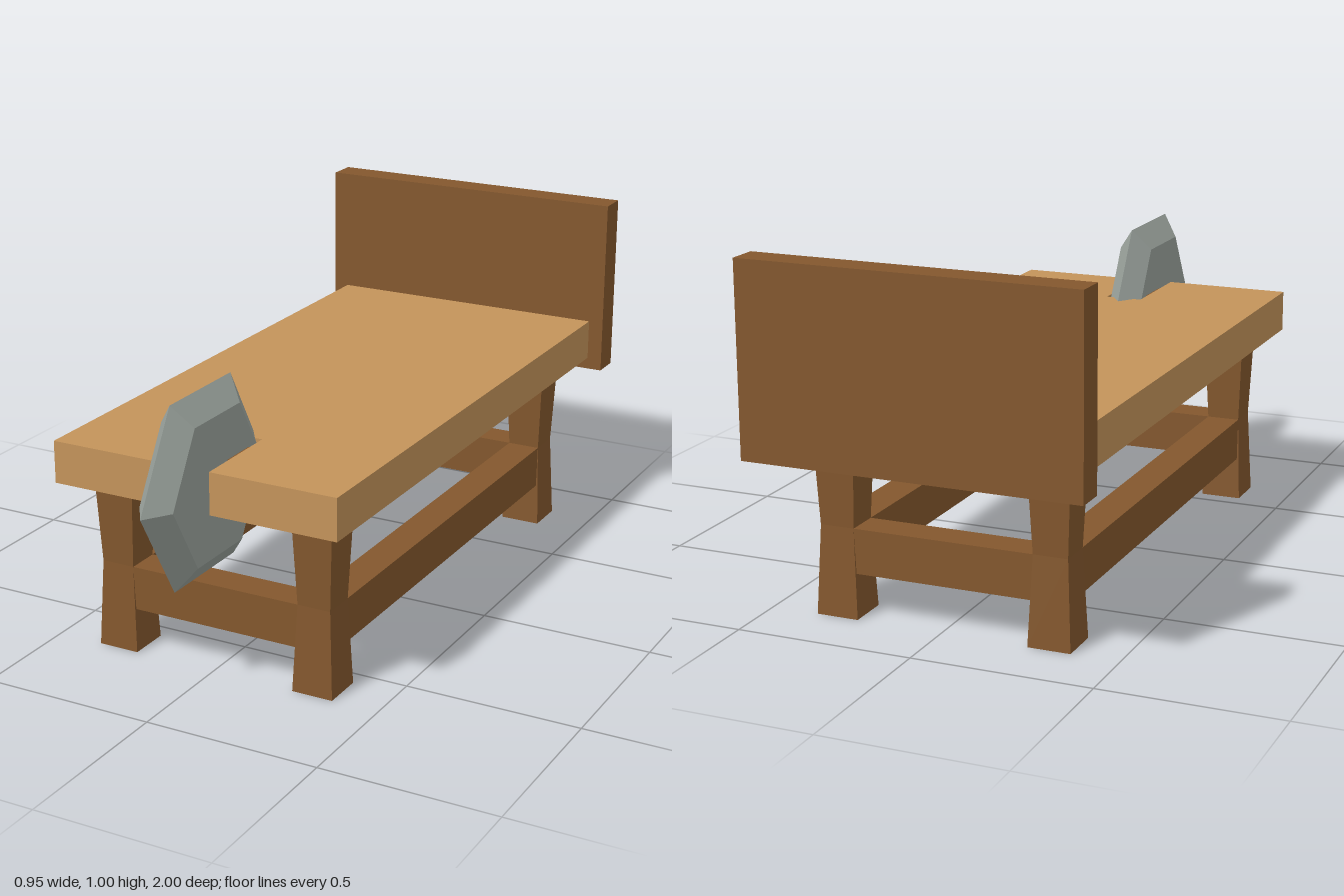
import * as THREE from 'three';

export function createModel() {
  const group = new THREE.Group();
  const material = (name, color) => {
    const m = new THREE.MeshStandardMaterial({ color, flatShading: true });
    m.name = name;
    return m;
  };
  const darkWood = material('dark wood', 0x83572d);
  const lightWood = material('light wood', 0xc3935a);
  const steel = material('steel', 0x99a19b);

  const add = (name, geometry, mat, x = 0, y = 0, z = 0) => {
    const mesh = new THREE.Mesh(geometry, mat);
    mesh.name = name;
    mesh.position.set(x, y, z);
    group.add(mesh);
    return mesh;
  };
  const box = (name, mat, w, h, d, x, y, z) =>
    add(name, new THREE.BoxGeometry(w, h, d), mat, x, y, z);

  // Table top with a slot open at the front; shape y runs towards the back
  const top = new THREE.Shape();
  [
    [-0.428, -0.76], [-0.055, -0.76], [-0.055, -0.487], [0.055, -0.487],
    [0.055, -0.76], [0.428, -0.76], [0.428, 0.915], [-0.428, 0.915],
  ].forEach(([x, y], i) => (i ? top.lineTo(x, y) : top.moveTo(x, y)));
  const topGeometry = new THREE.ExtrudeGeometry(top, { depth: 0.12, bevelEnabled: false });
  topGeometry.rotateX(-Math.PI / 2);
  add('tableTop', topGeometry, lightWood, 0, 0.5, 0);

  // Upright board across the back
  box('backBoard', darkWood, 0.946, 0.53, 0.087, 0, 0.73, -0.9565);

  // Square legs, narrowest at mid height
  const legX = 0.305, frontZ = 0.61, backZ = -0.76;
  const legGeometry = new THREE.BoxGeometry(0.12, 0.5, 0.12, 1, 2, 1);
  const p = legGeometry.attributes.position;
  for (let i = 0; i < p.count; i++) {
    const s = Math.abs(p.getY(i)) < 0.01 ? 0.81 : 1;
    p.setX(i, p.getX(i) * s);
    p.setZ(i, p.getZ(i) * s);
  }
  for (const x of [-legX, legX]) {
    for (const z of [frontZ, backZ]) add('leg', legGeometry, darkWood, x, 0.25, z);
    // Long stretcher on each side
    box('sideStretcher', darkWood, 0.097, 0.125, frontZ - backZ, x, 0.1875, (frontZ + backZ) / 2);
  }
  // Short stretchers at both ends
  for (const z of [frontZ, backZ])
    box('endStretcher', darkWood, legX * 2, 0.125, 0.097, 0, 0.1875, z);

  // Axle block between the slot walls
  box('axle', darkWood, 0.112, 0.118, 0.105, 0, 0.56, 0.605);

  // Six-sided wheel with a sharp rim
  const profile = [[0, -0.05], [0.223, -0.05], [0.297, 0], [0.223, 0.05], [0, 0.05]]
    .map(([r, y]) => new THREE.Vector2(r, y));
  const wheelGeometry = new THREE.LatheGeometry(profile, 6);
  wheelGeometry.rotateZ(Math.PI / 2);
  add('wheel', wheelGeometry, steel, 0, 0.563, 0.703);

  return group;
}
